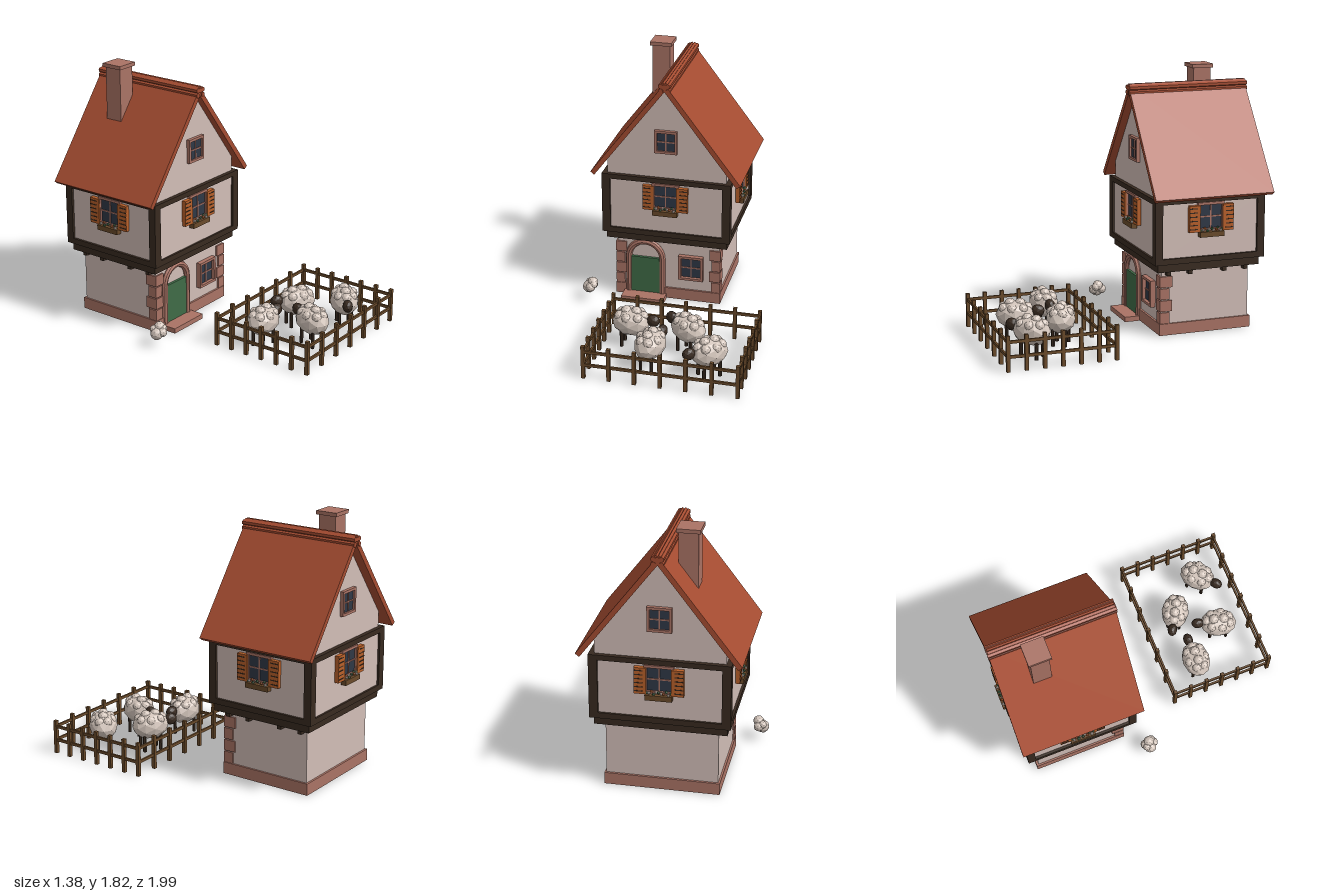
import * as THREE from 'three';

const mat = (name, color, flat = true) => {
  const m = new THREE.MeshStandardMaterial({ color, flatShading: flat });
  m.name = name;
  return m;
};
const M = {
  plaster: mat('plaster', 0xd2beb7),
  wool: mat('wool', 0xd3c5bb),
  timber: mat('dark timber', 0x382a20),
  wood: mat('fence wood', 0x6a4a2a),
  roof: mat('roof tile', 0xa54c31),
  stone: mat('pink stone', 0xaa7365),
  shutter: mat('shutter orange', 0xb8602a),
  green: mat('green', 0x3f6b47),
  glass: mat('window glass', 0x2f3846),
};

function add(parent, name, geo, material, x = 0, y = 0, z = 0) {
  const m = new THREE.Mesh(geo, material);
  m.name = name;
  m.position.set(x, y, z);
  parent.add(m);
  return m;
}
const box = (p, name, material, w, h, d, x, y, z) =>
  add(p, name, new THREE.BoxGeometry(w, h, d), material, x, y, z);
const ball = (p, name, material, r, x, y, z) =>
  add(p, name, new THREE.IcosahedronGeometry(r, 1), material, x, y, z);
function group(parent, name) {
  const g = new THREE.Group();
  g.name = name;
  parent.add(g);
  return g;
}

// Framed four-pane window facing +z, its back at z = 0
function makeWindow(parent, name, w, h, depth = 0.025) {
  const g = group(parent, name), t = 0.018;
  box(g, 'glass', M.glass, w - t, h - t, 0.008, 0, 0, 0.006);
  for (const s of [-1, 1]) {
    box(g, 'frameSide', M.stone, t, h, depth, s * (w - t) / 2, 0, depth / 2);
    box(g, 'frameRail', M.stone, w - 2 * t, t, depth, 0, s * (h - t) / 2, depth / 2);
  }
  box(g, 'mullion', M.stone, 0.009, h - 2 * t, 0.014, 0, 0, 0.008);
  box(g, 'transom', M.stone, w - 2 * t, 0.009, 0.014, 0, 0, 0.008);
  return g;
}

// Window with louvred shutters and a flower box
function makeShutteredWindow(parent, name) {
  const g = makeWindow(parent, name, 0.195, 0.2);
  for (const s of [-1, 1]) {
    box(g, 'shutter', M.shutter, 0.08, 0.185, 0.03, s * 0.123, -0.01, 0.02);
    for (let i = 0; i < 6; i++)
      box(g, 'louvreGap', M.timber, 0.058, 0.007, 0.004, s * 0.133, -0.082 + i * 0.029, 0.035);
  }
  box(g, 'flowerBox', M.wood, 0.18, 0.036, 0.04, 0, -0.12, 0.03);
  const blooms = [M.green, M.wool, M.shutter, M.green, M.wool];
  for (let i = 0; i < 11; i++)
    add(g, 'flower', new THREE.IcosahedronGeometry(0.011, 0), blooms[i % 5],
      -0.08 + i * 0.016, -0.096 + (i % 3) * 0.007, 0.03 + (i % 2 ? 0.008 : -0.006));
  return g;
}

function makeGroundFloor(house) {
  const g = group(house, 'groundFloor');
  box(g, 'lowerWalls', M.plaster, 0.755, 0.5, 0.65, 0, 0.25, 0);
  box(g, 'plinth', M.stone, 0.78, 0.083, 0.68, 0, 0.0445, 0);
  // Corner stones at the front
  for (const s of [-1, 1]) for (let i = 0; i < 4; i++) {
    const w = i % 2 ? 0.08 : 0.065, d = i % 2 ? 0.09 : 0.07;
    box(g, 'cornerStone', M.stone, w, 0.078, d, s * (0.388 - w / 2), 0.127 + i * 0.086, 0.338 - d / 2);
  }
  // Arched doorway
  const dx = -0.1675;
  box(g, 'door', M.green, 0.21, 0.285, 0.02, dx, 0.175, 0.335);
  add(g, 'doorArch', new THREE.TorusGeometry(0.124, 0.0235, 8, 16, Math.PI), M.stone, dx, 0.318, 0.333);
  for (const s of [-1, 1])
    add(g, 'doorJamb', new THREE.CylinderGeometry(0.0235, 0.0235, 0.318, 8), M.stone, dx + s * 0.124, 0.159, 0.333);
  box(g, 'doorStep', M.stone, 0.315, 0.036, 0.13, dx, 0.018, 0.385);
  makeWindow(g, 'lowerWindow', 0.18, 0.19, 0.035).position.set(0.1725, 0.27, 0.325);
}

function makeUpperFloor(house) {
  const g = group(house, 'upperFloor');
  for (const z of [-0.29, -0.13, 0.125, 0.285])
    box(g, 'joist', M.timber, 0.84, 0.04, 0.03, 0, 0.457, z);
  box(g, 'floorSlab', M.timber, 0.885, 0.06, 0.755, 0, 0.5, 0);
  box(g, 'upperWalls', M.plaster, 0.9, 0.43, 0.78, 0, 0.757, 0);
  // Timber frame
  for (const s of [-1, 1]) {
    for (const t of [-1, 1])
      box(g, 'cornerPost', M.timber, 0.06, 0.455, 0.055, s * 0.4375, 0.7555, t * 0.3775);
    for (const [y, h] of [[0.548, 0.04], [0.965, 0.036]]) {
      box(g, 'frameBeam', M.timber, 0.815, h, 0.055, 0, y, s * 0.3775);
      box(g, 'sideBeam', M.timber, 0.06, h, 0.7, s * 0.4375, y, 0);
    }
  }
  for (let i = 0; i < 4; i++) {
    const w = makeShutteredWindow(g, 'shutteredWindow'), a = i * Math.PI / 2;
    w.rotation.y = a;
    w.position.set(Math.sin(a) * 0.45, 0.847, Math.cos(a) * 0.39);
  }
}

function makeRoof(house) {
  const g = group(house, 'roof');
  const shape = new THREE.Shape([[-0.43, 0.975], [0.43, 0.975], [0.43, 1.09], [0, 1.652], [-0.43, 1.09]]
    .map(([x, y]) => new THREE.Vector2(x, y)));
  add(g, 'gableWalls', new THREE.ExtrudeGeometry(shape, { depth: 0.75, bevelEnabled: false }), M.plaster, 0, 0, -0.375);
  for (const a of [0, Math.PI]) {
    const w = makeWindow(g, 'gableWindow', 0.162, 0.17);
    w.rotation.y = a;
    w.position.set(0, 1.26, Math.cos(a) * 0.375);
  }
  // Two slopes that cross at the ridge
  const angle = Math.atan(1.306), len = 0.905, mid = len / 2 - 0.868;
  for (const s of [-1, 1]) {
    const slab = box(g, 'roofSlope', M.roof, len, 0.035, 0.87,
      -s * mid * Math.cos(angle), 1.677 + mid * Math.sin(angle), -0.005);
    slab.rotation.z = -s * angle;
  }
  for (const [x, y] of [[-0.026, 1.69], [0.026, 1.69], [0, 1.688], [-0.026, 1.655], [0.026, 1.655]]) {
    const r = add(g, 'ridgeRoll', new THREE.CylinderGeometry(0.018, 0.018, 0.882, 6), M.roof, x, y, -0.005);
    r.rotation.x = Math.PI / 2;
  }
  box(g, 'chimney', M.stone, 0.128, 0.55, 0.128, -0.1545, 1.525, -0.157);
  box(g, 'chimneyCap', M.stone, 0.157, 0.026, 0.157, -0.1545, 1.806, -0.157);
}

function makeFence(root) {
  const g = group(root, 'fence'), cx = 0.155, cz = 0.615, hx = 0.525, hz = 0.372;
  for (let i = 0; i < 7; i++) {
    const t = -1 + i / 3;
    for (const s of [-1, 1]) {
      box(g, 'fencePost', M.wood, 0.025, 0.243, 0.025, cx + t * hx, 0.1215, cz + s * hz);
      if (i > 0 && i < 6)
        box(g, 'fencePost', M.wood, 0.025, 0.243, 0.025, cx + s * hx, 0.1215, cz + t * hz);
    }
  }
  for (const y of [0.1, 0.2]) for (const s of [-1, 1]) {
    box(g, 'fenceRail', M.wood, 2 * hx, 0.02, 0.014, cx, y, cz + s * hz);
    box(g, 'fenceRail', M.wood, 0.014, 0.02, 2 * hz, cx + s * hx, y, cz);
  }
}

// Sheep facing +x before turning
function makeSheep(root, x, z, dx, dz) {
  const g = group(root, 'sheep');
  ball(g, 'body', M.wool, 1, 0, 0.183, 0).scale.set(0.135, 0.1, 0.102);
  for (let i = 0; i < 7; i++) {
    const a = i * Math.PI * 2 / 7;
    ball(g, 'woolPuff', M.wool, 0.036, Math.cos(a) * 0.085, 0.232, Math.sin(a) * 0.06);
  }
  for (const px of [-0.035, 0.035]) ball(g, 'woolPuff', M.wool, 0.038, px, 0.26, 0);
  ball(g, 'head', M.timber, 1, 0.155, 0.205, 0).scale.set(0.048, 0.045, 0.036);
  for (const sx of [-1, 1]) for (const sz of [-1, 1])
    add(g, 'leg', new THREE.CylinderGeometry(0.013, 0.013, 0.13, 6), M.timber, sx * 0.06, 0.065, sz * 0.042);
  g.position.set(x, 0, z);
  g.rotation.y = Math.atan2(-dz, dx);
}

export function createModel() {
  const root = new THREE.Group();
  root.name = 'cottageWithSheep';
  const house = group(root, 'house');
  house.position.set(-0.0875, 0, -0.545);
  makeGroundFloor(house);
  makeUpperFloor(house);
  makeRoof(house);
  makeFence(root);
  makeSheep(root, -0.172, 0.49, 1, 0);
  makeSheep(root, 0.232, 0.49, -0.145, -0.085);
  makeSheep(root, 0.032, 0.755, 0.045, -0.15);
  makeSheep(root, 0.437, 0.755, -0.12, 0.105);
  // Loose tuft of wool beside the house
  const tuft = group(root, 'woolTuft');
  for (const [x, y, z, r] of [[-0.645, 0.1, -0.065, 0.046], [-0.615, 0.14, -0.065, 0.038],
    [-0.625, 0.11, -0.035, 0.035], [-0.62, 0.11, -0.095, 0.035], [-0.605, 0.13, -0.045, 0.03], [-0.645, 0.125, -0.09, 0.03]])
    ball(tuft, 'woolPuff', M.wool, r, x, y, z);
  return root;
}
